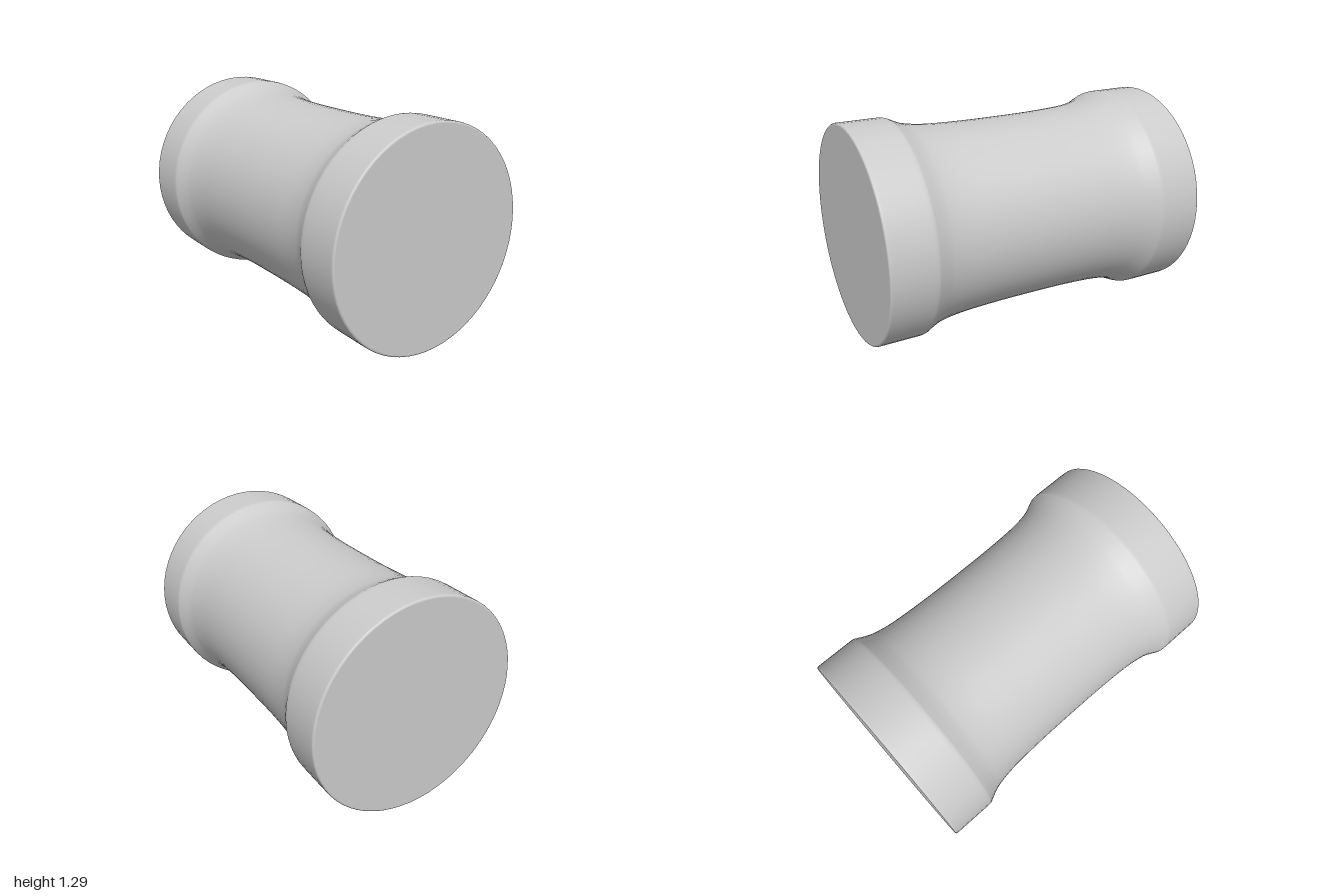
import * as THREE from 'three';

const SEGMENTS = 64;
const RIM = 0.643;      // radius of the end collars
const BEVEL = 0.012;    // rounding of the outer edges

export function createModel() {
  const group = new THREE.Group();
  const material = new THREE.MeshStandardMaterial({ color: 0xcccccc });
  const add = (name, geometry) => {
    const mesh = new THREE.Mesh(geometry, material);
    mesh.name = name;
    mesh.position.y = RIM;
    group.add(mesh);
    return mesh;
  };

  // Half profile (radius, distance along the axis) from the waist to a collar
  const flare = new THREE.SplineCurve([
    [0.563, 0], [0.564, 0.2], [0.57, 0.4], [0.579, 0.52], [0.594, 0.61],
    [0.61, 0.66], [0.632, 0.708], [0.641, 0.728], [RIM, 0.75],
  ].map(([r, d]) => new THREE.Vector2(r, d))).getPoints(40);

  // Straight collar and rounded outer edge
  const half = [...flare, new THREE.Vector2(RIM, 0.8), new THREE.Vector2(RIM, 0.97)];
  for (let i = 0; i <= 5; i++) {
    const a = (i / 5) * Math.PI / 2;
    half.push(new THREE.Vector2(RIM - BEVEL + BEVEL * Math.cos(a), 1 - BEVEL + BEVEL * Math.sin(a)));
  }

  // Mirror the half profile and turn it around the z axis
  const mirrored = half.slice(1).reverse().map(p => new THREE.Vector2(p.x, -p.y));
  add('flaredBody', new THREE.LatheGeometry([...mirrored, ...half], SEGMENTS).rotateX(Math.PI / 2));

  // Flat ends
  for (const side of [1, -1]) {
    const cap = add(side > 0 ? 'frontEnd' : 'backEnd', new THREE.CircleGeometry(RIM - BEVEL, SEGMENTS));
    cap.position.z = side;
    if (side < 0) cap.rotation.y = Math.PI;
  }
  return group;
}
